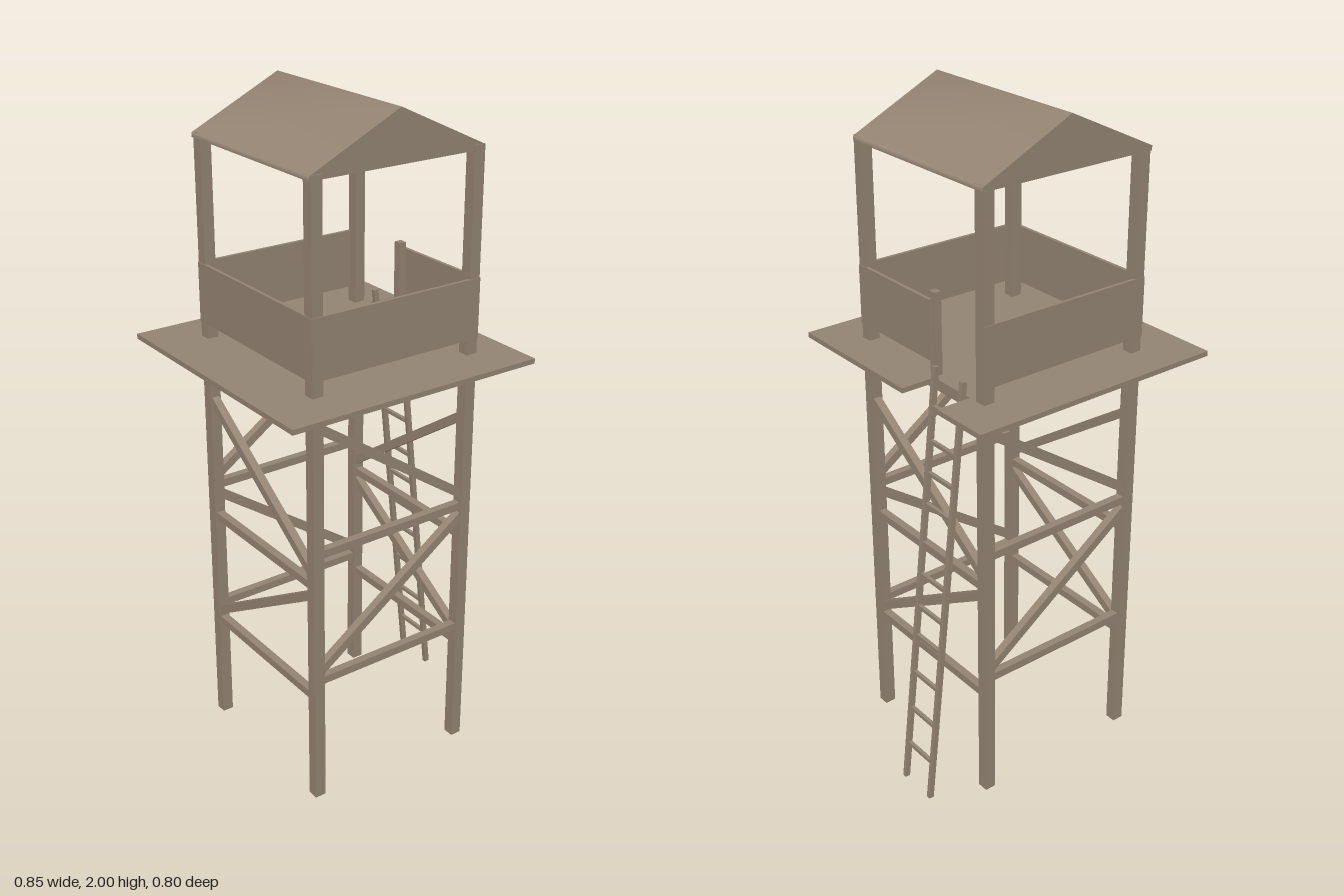
import * as THREE from 'three';

export function createModel() {
  const model = new THREE.Group();
  model.name = 'watchtower';
  const wood = new THREE.MeshStandardMaterial({ color: 0x948473, side: THREE.DoubleSide });
  wood.name = 'weathered wood';

  const add = (name, geometry, parent = model) => {
    const mesh = new THREE.Mesh(geometry, wood);
    mesh.name = name;
    parent.add(mesh);
    return mesh;
  };
  // Box given by its lower and upper limits on each axis
  const box = (name, [x0, x1], [y0, y1], [z0, z1], parent) => {
    const mesh = add(name, new THREE.BoxGeometry(x1 - x0, y1 - y0, z1 - z0), parent);
    mesh.position.set((x0 + x1) / 2, (y0 + y1) / 2, (z0 + z1) / 2);
    return mesh;
  };
  // Straight timber between two points
  const beam = (name, a, b, width, depth, parent) => {
    const from = new THREE.Vector3(...a), to = new THREE.Vector3(...b);
    const mesh = add(name, new THREE.BoxGeometry(width, depth, from.distanceTo(to)), parent);
    mesh.position.copy(from).add(to).multiplyScalar(0.5);
    mesh.lookAt(to);
    return mesh;
  };

  const left = 0.248, right = -0.268, front = 0.259, back = -0.264, half = 0.017;

  // Corner posts
  for (const x of [right, left]) for (const z of [back, front])
    box('cornerPost', [x - half, x + half], [0, 1.87], [z - half, z + half]);

  // Bracing on the four faces: rails and one zigzag pair of diagonals each
  const braceFace = (name, p, q, lower, upper, top) => {
    const face = new THREE.Group();
    face.name = name;
    model.add(face);
    const at = ([x, z], y) => [x, y, z];
    for (const y of [lower, upper, top])
      beam('crossRail', at(p, y), at(q, y), 0.024, 0.024, face);
    beam('lowerDiagonal', at(p, lower + 0.025), at(q, upper - 0.025), 0.024, 0.026, face);
    beam('upperDiagonal', at(p, upper + 0.385), at(q, upper + 0.03), 0.024, 0.026, face);
  };
  braceFace('frontBracing', [right, front], [left, front], 0.4, 0.812, 1.26);
  braceFace('backBracing', [left, back], [right, back], 0.4, 0.812, 1.26);
  braceFace('leftBracing', [left, front], [left, back], 0.345, 0.712, 1.26);
  braceFace('rightBracing', [right, back], [right, front], 0.345, 0.712, 1.26);

  // Platform with a notch for the ladder
  const outline = [[-0.43, -0.4], [0.37, -0.4], [0.37, -0.065 + 0.13], [0.265, 0.065],
    [0.265, 0.22], [0.37, 0.22], [0.37, 0.4], [-0.43, 0.4]];
  const deck = new THREE.Shape(outline.map(([x, y]) => new THREE.Vector2(x, y)));
  const deckGeometry = new THREE.ExtrudeGeometry(deck, { depth: 0.015, bevelEnabled: false });
  deckGeometry.rotateX(-Math.PI / 2);
  add('platform', deckGeometry).position.y = 1.27;

  // Parapet, open beside the ladder
  const height = [1.33, 1.505];
  box('frontParapet', [-0.286, 0.266], height, [0.268, 0.278]);
  box('backParapet', [-0.286, 0.266], height, [-0.283, -0.273]);
  box('rightParapet', [-0.287, -0.277], height, [-0.282, 0.277]);
  box('leftParapet', [0.257, 0.267], height, [-0.05, 0.277]);
  box('gatePost', [0.235, 0.257], [1.285, 1.525], [-0.062, -0.038]);

  // Roof skin: one section swept along z, sharing normals over the ridge
  const section = [[-0.288, 1.855], [-0.288, 1.868], [-0.01, 2], [0.268, 1.868], [0.268, 1.855]];
  const roofBack = -0.284, roofFront = 0.273;
  const positions = [], index = [];
  section.forEach(([x, y], i) => {
    positions.push(x, y, roofBack, x, y, roofFront);
    const a = i * 2;
    if (i < section.length - 1) index.push(a, a + 1, a + 3, a, a + 3, a + 2);
  });
  const roof = new THREE.BufferGeometry();
  roof.setAttribute('position', new THREE.Float32BufferAttribute(positions, 3));
  roof.setIndex(index);
  roof.computeVertexNormals();
  add('roof', roof);

  // Gable ends
  const gable = new THREE.Shape(section.map(([x, y]) => new THREE.Vector2(x, y)));
  for (const [name, z] of [['frontGable', roofFront - 0.006], ['backGable', roofBack]]) {
    const geometry = new THREE.ExtrudeGeometry(gable, { depth: 0.006, bevelEnabled: false });
    add(name, geometry).position.z = z;
  }

  // Leaning ladder
  const ladder = new THREE.Group();
  ladder.name = 'ladder';
  model.add(ladder);
  const ladderX = (y) => 0.417 - (y - 0.008) * 0.107;
  for (const z of [-0.086, -0.207])
    beam('ladderRail', [ladderX(0.008), 0.008, z], [ladderX(1.33), 1.33, z], 0.013, 0.016, ladder);
  for (const y of [0.13, 0.255, 0.38, 0.505, 0.6, 0.705, 0.805, 0.925, 1.02, 1.115, 1.215])
    beam('ladderRung', [ladderX(y), y, -0.207], [ladderX(y), y, -0.086], 0.011, 0.011, ladder);

  return model;
}
